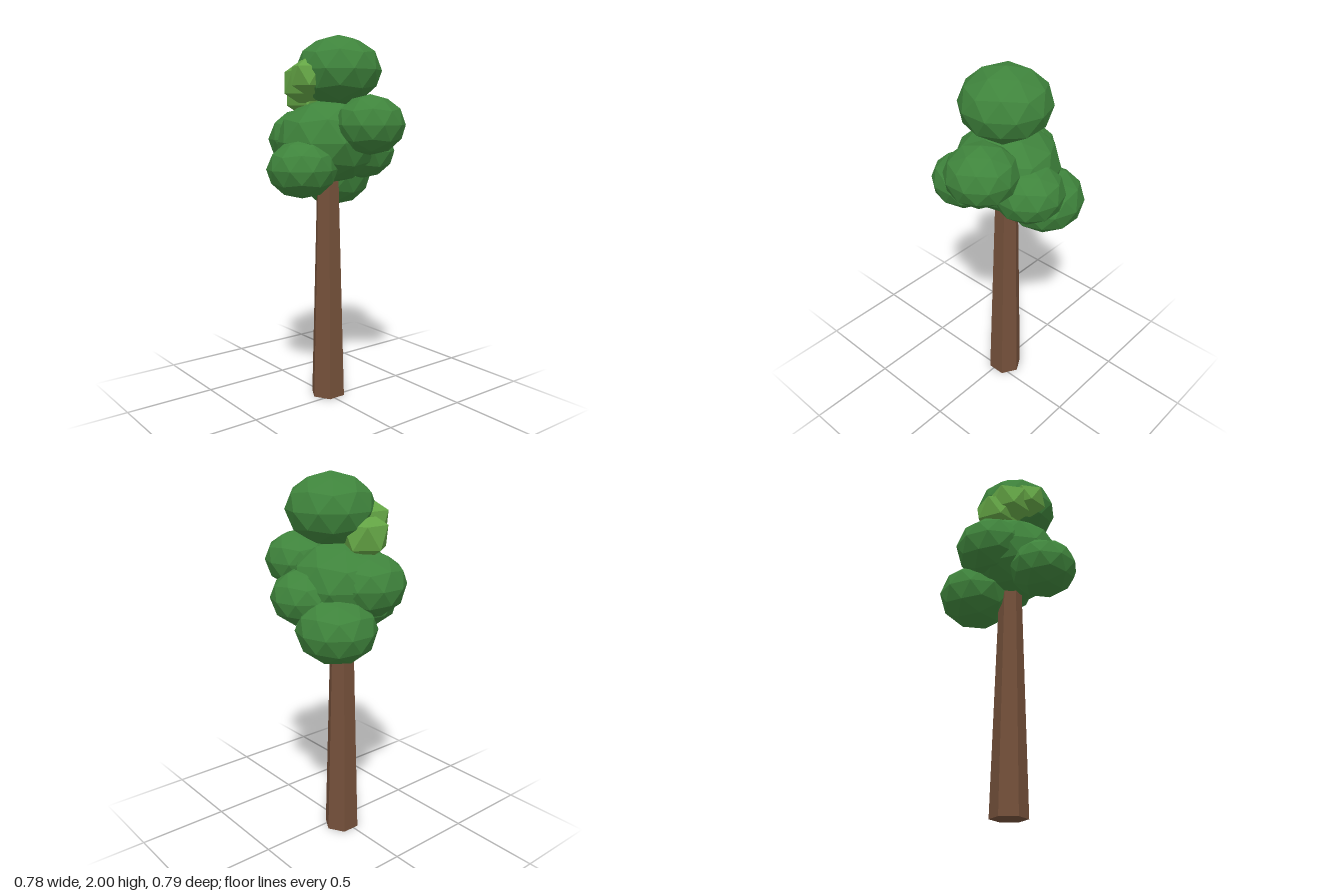
import * as THREE from 'three';

const mat = (name, color) => {
  const m = new THREE.MeshStandardMaterial({ color, flatShading: true });
  m.name = name;
  return m;
};

// Faceted ball with a vertex at each pole and an upper-ring vertex toward +x
function ball(name, material, detail, [x, y, z], r, ry) {
  const g = new THREE.IcosahedronGeometry(1, detail);
  g.rotateX(-Math.atan((1 + Math.sqrt(5)) / 2));
  g.rotateY(Math.PI / 2);
  g.scale(r, ry, r);
  g.computeVertexNormals();
  const mesh = new THREE.Mesh(g, material);
  mesh.name = name;
  mesh.position.set(x, y, z);
  return mesh;
}

export function createModel() {
  const tree = new THREE.Group();
  tree.name = 'tree';
  const bark = mat('bark brown', 0x74503a);
  const leaf = mat('leaf green', 0x3f843c);
  const fresh = mat('fresh leaf green', 0x64a545);

  // Tapered six-sided trunk
  const trunk = new THREE.Mesh(new THREE.CylinderGeometry(0.06, 0.0985, 1.35, 6), bark);
  trunk.name = 'trunk';
  trunk.position.set(-0.053, 0.675, -0.018);
  tree.add(trunk);

  // Crown of squashed foliage balls: name, centre, radius, half height
  const crown = [
    ['crownTop', [-0.002, 1.815, -0.05], 0.233, 0.185],
    ['crownMiddle', [-0.055, 1.44, -0.012], 0.281, 0.23],
    ['crownLeft', [0.213, 1.533, -0.09], 0.186, 0.156],
    ['crownRight', [-0.188, 1.45, 0.03], 0.209, 0.172],
    ['crownBack', [0, 1.385, -0.21], 0.186, 0.152],
    ['crownBackRight', [-0.188, 1.245, -0.166], 0.21, 0.175],
    ['crownFront', [0.023, 1.305, 0.208], 0.186, 0.152],
  ];
  for (const [name, p, r, ry] of crown) tree.add(ball(name, leaf, 1, p, r, ry));

  // Fresh leaf tufts poking out below the top ball
  const tufts = [
    [[-0.17, 1.69, 0.032], 0.131],
    [[-0.115, 1.752, 0.084], 0.131],
    [[-0.02, 1.782, 0.128], 0.108],
  ];
  tufts.forEach(([p, r], i) => tree.add(ball('leafTuft' + (i + 1), fresh, 0, p, r, r)));

  return tree;
}
